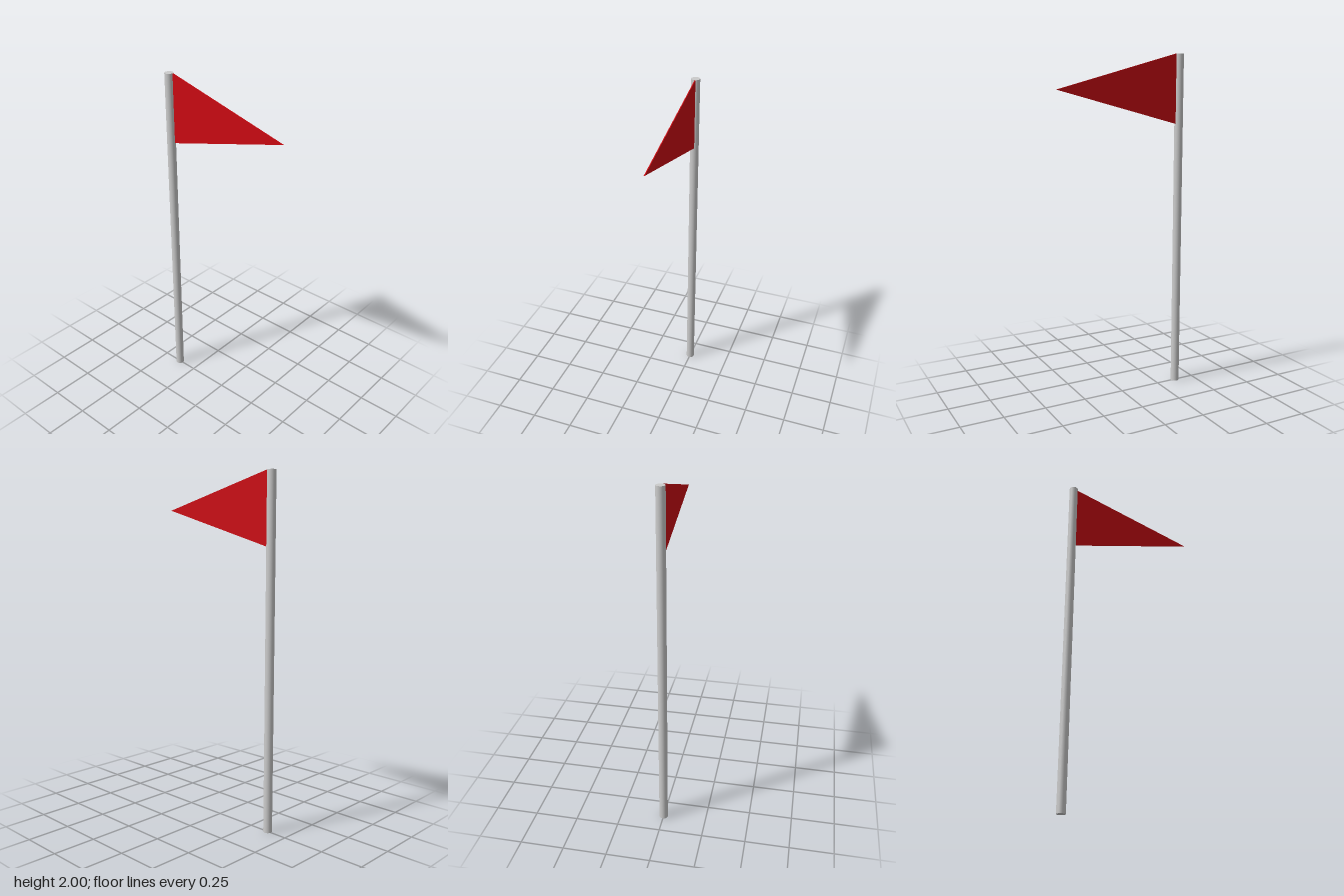
import * as THREE from 'three';

export function createModel() {
  const group = new THREE.Group();

  // Round pole
  const poleRadius = 0.025, poleX = -0.375, height = 2;
  const pole = new THREE.Mesh(
    new THREE.CylinderGeometry(poleRadius, poleRadius, height, 32),
    new THREE.MeshStandardMaterial({ color: 0xcccccc })
  );
  pole.name = 'pole';
  pole.position.set(poleX, height / 2, 0);
  group.add(pole);

  // Thin triangular pennant at the top of the pole
  const outline = new THREE.Shape([
    new THREE.Vector2(poleX + poleRadius, 1.6),
    new THREE.Vector2(0.4, 1.8),
    new THREE.Vector2(poleX + poleRadius, 2),
  ]);
  const pennant = new THREE.Mesh(
    new THREE.ExtrudeGeometry(outline, { depth: 0.005, bevelEnabled: false }),
    new THREE.MeshStandardMaterial({ color: 0xcc0a12 })
  );
  pennant.name = 'pennant';
  pennant.position.z = -0.007;
  group.add(pennant);

  return group;
}
